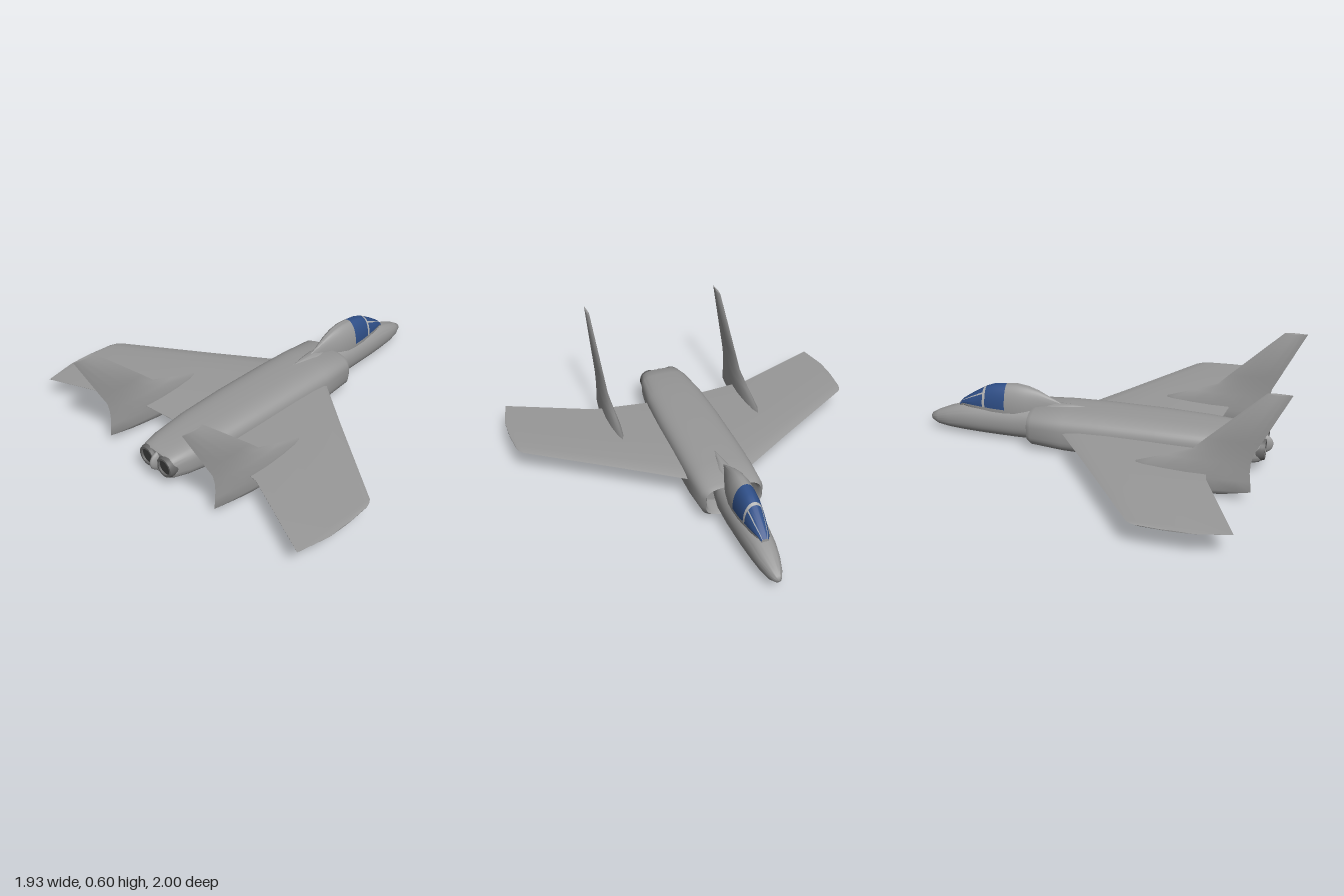
import * as THREE from 'three';
import { toCreasedNormals } from 'three/addons/utils/BufferGeometryUtils.js';

const material = (name, color, side = THREE.FrontSide) => {
  const m = new THREE.MeshStandardMaterial({ color, side });
  m.name = name;
  return m;
};

// Closed skin through equal-sized rings of [x, y, z], capped at both ends.
// pick(ring, column) may choose a material index for each panel.
function loft(rings, pick = () => 0, crease = 0.7) {
  const n = rings[0].length;
  const pos = rings.flat(2);
  const index = [];
  const geo = new THREE.BufferGeometry();
  const face = (mat, ...corners) => {
    geo.addGroup(index.length, corners.length, mat);
    index.push(...corners);
  };
  for (let i = 0; i < rings.length - 1; i++) {
    for (let j = 0; j < n; j++) {
      const k = (j + 1) % n;
      const a = i * n + j, b = i * n + k, c = a + n, d = b + n;
      face(pick(i, j), a, b, c, b, d, c);
    }
  }
  for (const end of [0, rings.length - 1]) {
    const centre = pos.length / 3;
    for (let axis = 0; axis < 3; axis++) {
      pos.push(rings[end].reduce((sum, p) => sum + p[axis], 0) / n);
    }
    for (let j = 0; j < n; j++) {
      const a = end * n + j, b = end * n + (j + 1) % n;
      if (end === 0) face(0, centre, b, a);
      else face(0, centre, a, b);
    }
  }
  geo.setAttribute('position', new THREE.Float32BufferAttribute(pos, 3));
  geo.setIndex(index);
  return toCreasedNormals(geo, crease);
}

// Rounded cross-section: station is [z, halfWidth, bottom, top]
function hullRing([z, w, bottom, top], power, sides = 48) {
  const soft = v => Math.sign(v) * Math.abs(v) ** (2 / power);
  return Array.from({ length: sides }, (_, j) => {
    const a = (j / sides) * Math.PI * 2;
    return [w * soft(Math.cos(a)), (bottom + top) / 2 + (top - bottom) / 2 * soft(Math.sin(a)), z];
  });
}

export function createModel() {
  const model = new THREE.Group();
  model.name = 'jetAircraft';
  const grey = material('hullGrey', 0x999999);
  const blue = material('canopyBlue', 0x2f4f88);
  const frame = material('frameGrey', 0xb4b4b4);
  const dark = material('nozzleGrey', 0x666666, THREE.DoubleSide);
  const black = material('exhaustDark', 0x3c3c3c);

  const add = (name, geo, mat, x = 0, y = 0, z = 0) => {
    const mesh = new THREE.Mesh(geo, mat);
    mesh.name = name;
    mesh.position.set(x, y, z);
    model.add(mesh);
    return mesh;
  };
  const single = geo => { geo.clearGroups(); return geo; };

  // Main fuselage, starting inside the recessed intake
  const body = [
    [-0.3, 0.13, 0.06, 0.19], [-0.385, 0.14, 0.05, 0.197], [-0.4, 0.15, 0.04, 0.206],
    [-0.375, 0.167, 0.025, 0.218], [-0.2, 0.176, 0.01, 0.228], [0, 0.176, 0.005, 0.232],
    [0.3, 0.173, 0.01, 0.23], [0.55, 0.163, 0.02, 0.223], [0.75, 0.138, 0.045, 0.212],
    [0.83, 0.118, 0.06, 0.2], [0.845, 0.11, 0.07, 0.19],
  ];
  add('fuselage', single(loft(body.map(s => hullRing(s, 3.3)))), grey);

  // Forward fuselage, fading into the back
  const nose = [
    [-1, 0.002, 0.073, 0.077], [-0.99, 0.018, 0.055, 0.094], [-0.95, 0.037, 0.036, 0.119],
    [-0.88, 0.056, 0.027, 0.149], [-0.8, 0.068, 0.022, 0.176], [-0.68, 0.078, 0.018, 0.19],
    [-0.5, 0.085, 0.015, 0.2], [-0.38, 0.085, 0.015, 0.215], [-0.27, 0.068, 0.02, 0.234],
    [-0.18, 0.035, 0.04, 0.236], [-0.1, 0.004, 0.08, 0.229],
  ];
  add('nose', single(loft(nose.map(s => hullRing(s, 2.2)), undefined, 1)), grey);

  // Canopy: station is [z, halfWidth, top], mirrored below its sill
  const canopy = [
    [-0.82, 0.02, 0.184], [-0.8, 0.029, 0.205], [-0.74, 0.043, 0.247], [-0.68, 0.053, 0.284],
    [-0.665, 0.055, 0.292], [-0.62, 0.061, 0.309], [-0.55, 0.065, 0.318], [-0.49, 0.065, 0.322],
    [-0.43, 0.057, 0.314], [-0.37, 0.043, 0.294], [-0.25, 0.004, 0.236],
  ];
  const canopyMaterial = (i, j) => {
    if (i > 5 || j > 23) return 0;
    const rail = i < 3 && (j === 6 || j === 17);
    return i === 3 || rail ? 2 : 1;
  };
  const canopyRings = canopy.map(([z, w, top]) => {
    const sill = z < -0.8 ? 0.172 : 0.187;
    return hullRing([z, w, 2 * sill - top, top], 2.1);
  });
  add('canopy', loft(canopyRings, canopyMaterial), [grey, blue, frame]);

  // Wings, one skin from tip to tip: station is [x, leading z, trailing z, half thickness]
  const half = [
    [0.1, -0.235, 0.578, 0.018], [0.175, -0.19, 0.584, 0.018], [0.46, 0.01, 0.617, 0.014],
    [0.93, 0.33, 0.822, 0.007], [0.945, 0.35, 0.75, 0.006], [0.956, 0.38, 0.7, 0.005],
    [0.966, 0.5, 0.65, 0.003],
  ];
  const mirrored = half.map(([x, ...rest]) => [-x, ...rest]).reverse();
  const wingSection = [[0, 0], [0.03, 0.5], [0.12, 0.85], [0.3, 1], [0.6, 0.75], [1, 0.06]];
  const wingRing = ([x, front, rear, t]) => {
    const point = sign => ([u, f]) => [x, 0.142 + sign * f * t, front + (rear - front) * u];
    return [
      ...wingSection.map(point(1)),
      ...wingSection.slice(1).reverse().map(point(-1)),
    ];
  };
  add('wings', single(loft([...mirrored, ...half].map(wingRing))), grey);

  // Tail fins with their underwing pods: station is [y, front z, rear z, half thickness]
  const fin = [
    [0.02, 0.42, 0.58, 0.012], [0.034, 0.34, 0.7, 0.024], [0.06, 0.265, 0.83, 0.028],
    [0.12, 0.24, 0.825, 0.03], [0.165, 0.255, 0.82, 0.028], [0.215, 0.4, 0.822, 0.018],
    [0.265, 0.535, 0.832, 0.011], [0.33, 0.6, 0.865, 0.01], [0.595, 0.876, 0.997, 0.008],
    [0.6, 0.885, 1, 0.005],
  ];
  const finSection = [[1, 0], [0.88, 0.32], [0.7, 0.7], [0.45, 1], [0.25, 0.88], [0.08, 0.5], [0, 0]];
  const finRing = ([y, front, rear, t]) => {
    const point = sign => ([u, f]) => [sign * f * t, y, front + (rear - front) * u];
    return [
      ...finSection.map(point(1)),
      ...finSection.slice(1, -1).reverse().map(point(-1)),
    ];
  };
  const finGeo = single(loft(fin.map(finRing)));

  // Paired fins and exhausts
  const nozzleProfile = [[0.058, -0.06], [0.058, 0.01], [0.052, 0.025], [0.041, 0.025], [0.037, -0.02]];
  const nozzleGeo = new THREE.LatheGeometry(nozzleProfile.map(p => new THREE.Vector2(...p)), 32);
  nozzleGeo.rotateX(Math.PI / 2);
  for (const [side, sign] of [['left', 1], ['right', -1]]) {
    add(side + 'Fin', finGeo, grey, sign * 0.395);
    add(side + 'Nozzle', toCreasedNormals(nozzleGeo, 0.6), dark, sign * 0.064, 0.133, 0.835);
    add(side + 'Exhaust', new THREE.CircleGeometry(0.042, 32), black, sign * 0.064, 0.133, 0.85);
  }

  // Tail fairing between the nozzles
  add('tailFairing', new THREE.SphereGeometry(1, 20, 14), grey, 0, 0.135, 0.83).scale.set(0.022, 0.055, 0.062);

  return model;
}
